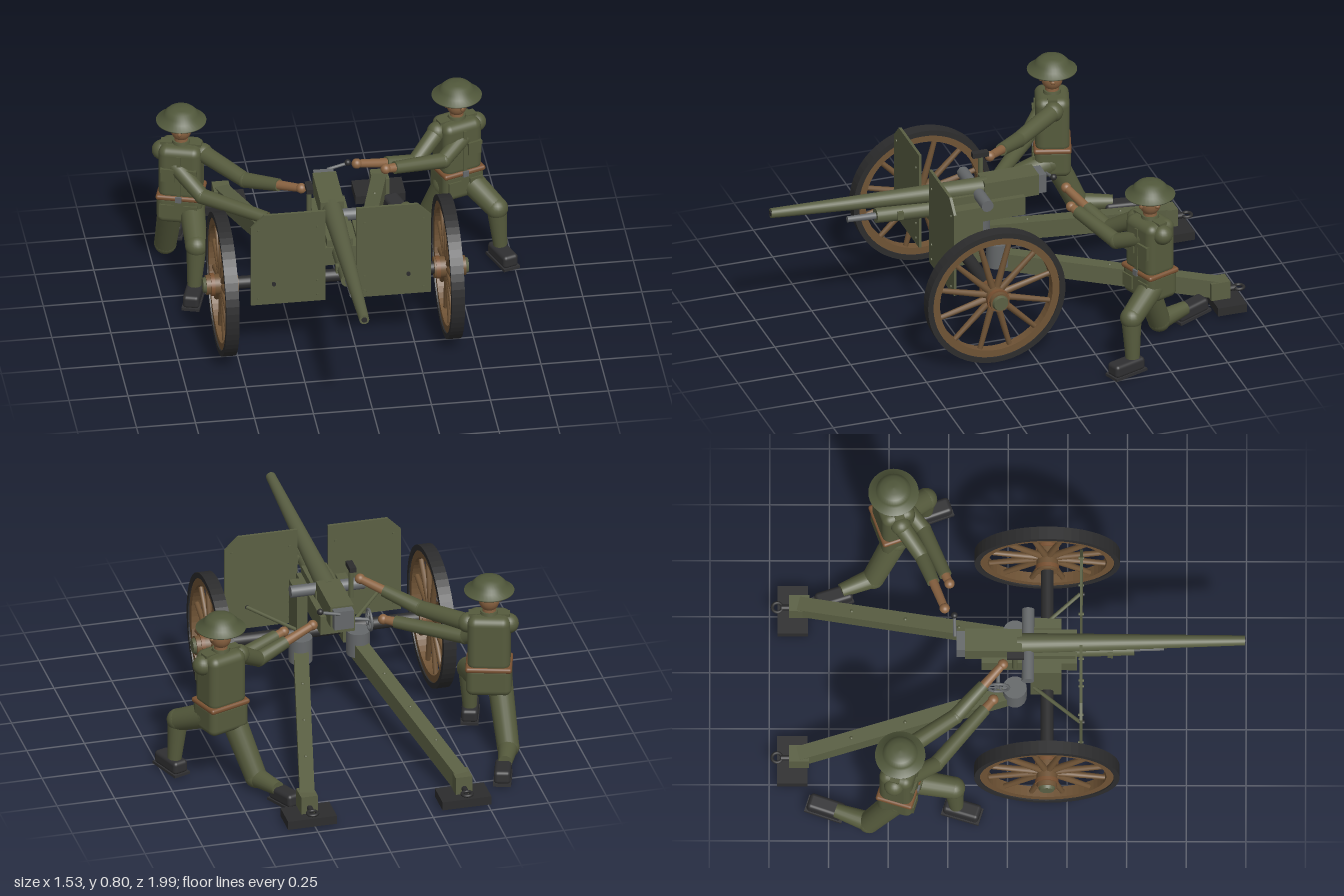
import * as THREE from 'three';
import { RoundedBoxGeometry } from 'three/addons/geometries/RoundedBoxGeometry.js';

const V = (p) => new THREE.Vector3(...p);
const UP = new THREE.Vector3(0, 1, 0);

export function createModel() {
  const mat = (name, color, side = THREE.FrontSide) => {
    const m = new THREE.MeshStandardMaterial({ color, side });
    m.name = name;
    return m;
  };
  const olive = mat('olive paint', 0x5a5f43);
  const cloth = mat('uniform cloth', 0x565b3d);
  const helmetMat = mat('helmet green', 0x51583b, THREE.DoubleSide);
  const rubber = mat('tyre black', 0x2c2c2d);
  const boot = mat('boot black', 0x2f2f31);
  const wood = mat('wood', 0x6f5335);
  const steel = mat('steel', 0x65686a);
  const skin = mat('skin', 0x8b6442);
  const leather = mat('leather', 0x7a5232);

  const add = (parent, name, geo, m, pos = [0, 0, 0]) => {
    const mesh = new THREE.Mesh(geo, m);
    mesh.name = name;
    mesh.position.set(...pos);
    parent.add(mesh);
    return mesh;
  };
  const box = (parent, name, size, pos, m) => add(parent, name, new THREE.BoxGeometry(...size), m, pos);
  const ball = (parent, name, r, pos, m) => add(parent, name, new THREE.SphereGeometry(r, 20, 14), m, pos);
  // Round bar from a (radius ra) to b (radius rb)
  const rod = (parent, name, a, b, ra, rb, m, seg = 20) => {
    const A = V(a), B = V(b), d = B.clone().sub(A);
    const mesh = add(parent, name, new THREE.CylinderGeometry(rb, ra, d.length(), seg), m);
    mesh.position.copy(A).add(B).multiplyScalar(0.5);
    mesh.quaternion.setFromUnitVectors(UP, d.normalize());
    return mesh;
  };
  // Square beam from a to b
  const beam = (parent, name, a, b, w, h, m) => {
    const A = V(a), B = V(b);
    const mesh = add(parent, name, new THREE.BoxGeometry(w, h, A.distanceTo(B)), m);
    mesh.position.copy(A).add(B).multiplyScalar(0.5);
    mesh.lookAt(B);
    return mesh;
  };
  const group = (parent, name) => {
    const g = new THREE.Group();
    g.name = name;
    parent.add(g);
    return g;
  };

  const model = new THREE.Group();
  model.name = 'fieldGunAndCrew';
  const gun = group(model, 'fieldGun');
  const cx = -0.07; // gun centre line

  // Wheels, built around the local y axis and turned to lie along x
  const ring = (rin, rout, h) => new THREE.LatheGeometry(
    [[rin, -h], [rout, -h], [rout, h], [rin, h], [rin, -h]].flatMap((p, i, a) =>
      i ? [new THREE.Vector2(...a[i - 1]), new THREE.Vector2(...p)] : []), 56).toNonIndexed();
  const smoothRing = (...a) => { const g = ring(...a); g.computeVertexNormals(); return g; };
  for (const [x, s] of [[-0.55, -1], [0.405, 1]]) {
    const w = group(gun, s < 0 ? 'rightWheel' : 'leftWheel');
    w.position.set(x, 0.305, 0.165);
    w.rotation.z = -s * Math.PI / 2;
    add(w, 'tyre', smoothRing(0.281, 0.305, 0.028), rubber);
    add(w, 'rim', smoothRing(0.25, 0.282, 0.022), wood);
    for (let i = 0; i < 12; i++) {
      const a = (i + 0.5) * Math.PI / 6, c = Math.cos(a), d = Math.sin(a);
      rod(w, 'spoke', [c * 0.04, 0, d * 0.04], [c * 0.255, 0, d * 0.255], 0.015, 0.011, wood, 10);
    }
    rod(w, 'hub', [0, -0.062, 0], [0, 0.072, 0], 0.046, 0.042, wood, 28);
    for (const y of [-0.045, 0.045]) rod(w, 'hubBand', [0, y - 0.008, 0], [0, y + 0.008, 0], 0.049, 0.049, leather, 28);
    rod(w, 'hubCap', [0, 0.07, 0], [0, 0.085, 0], 0.036, 0.03, olive, 24);
  }
  rod(gun, 'axle', [-0.56, 0.305, 0.165], [0.415, 0.305, 0.165], 0.027, 0.027, rubber);

  // Shield: two mirrored plates with a clipped outer corner
  for (const s of [-1, 1]) {
    const pts = [[0.066, 0.28], [0.382, 0.28], [0.382, 0.662], [0.325, 0.72], [0.066, 0.72]];
    const shape = new THREE.Shape(pts.map(([x, y]) => new THREE.Vector2(x * s, y)));
    add(gun, 'shieldPlate', new THREE.ExtrudeGeometry(shape, { depth: 0.012, bevelEnabled: false }), olive, [cx, 0, 0.302]);
    for (const [x, y] of [[0.1, 0.645], [0.35, 0.645], [0.1, 0.38], [0.35, 0.31], [0.1, 0.31]])
      rod(gun, 'rivet', [cx + s * x, y, 0.296], [cx + s * x, y, 0.319], 0.006, 0.006, olive, 8);
    rod(gun, 'shieldKnob', [cx + s * 0.285, 0.38, 0.3], [cx + s * 0.285, 0.38, 0.322], 0.009, 0.009, rubber, 10);
    rod(gun, 'shieldStrut', [cx + s * 0.285, 0.38, 0.302], [cx + s * 0.12, 0.35, 0.11], 0.008, 0.008, olive, 10);

    // Carriage cheek, trail pivot and trail
    box(gun, 'carriageCheek', [0.045, 0.26, 0.13], [cx + s * 0.1, 0.4, 0.16], olive);
    rod(gun, 'trailPivot', [cx + s * 0.125, 0.25, 0.03], [cx + s * 0.125, 0.36, 0.03], 0.05, 0.05, steel);
    const head = [cx + s * 0.125, 0.275, 0.02], tail = [cx + s * 0.335, 0.085, -0.88];
    beam(gun, 'trail', head, tail, 0.062, 0.078, olive);
    for (const t of [0.25, 0.5, 0.75]) {
      const p = V(head).lerp(V(tail), t);
      ball(gun, 'trailRivet', 0.008, [p.x, p.y + 0.038, p.z], olive);
    }
    box(gun, 'trailEnd', [0.072, 0.08, 0.085], [cx + s * 0.335, 0.085, -0.875], olive);
    box(gun, 'spade', [0.212, 0.038, 0.128], [cx + s * 0.335, 0.026, -0.903], rubber);
    add(gun, 'towRing', new THREE.TorusGeometry(0.021, 0.007, 10, 24), rubber, [cx + s * 0.335, 0.072, -0.967]).rotation.x = Math.PI / 2;
    rod(gun, 'towPin', [cx + s * 0.335, 0.072, -0.9], [cx + s * 0.335, 0.072, -0.95], 0.012, 0.012, rubber, 12);
  }

  // Barrel, breech and recoil gear
  rod(gun, 'barrel', [cx, 0.558, 0.04], [cx, 0.6, 0.995], 0.044, 0.021, olive, 28);
  rod(gun, 'muzzleBore', [cx, 0.6, 0.99], [cx, 0.6002, 0.9975], 0.012, 0.012, rubber);
  box(gun, 'breechHousing', [0.1, 0.095, 0.24], [cx, 0.552, -0.06], olive);
  box(gun, 'breechBlock', [0.085, 0.085, 0.04], [cx, 0.55, -0.195], steel);
  rod(gun, 'breechLever', [cx + 0.02, 0.585, -0.222], [0.03, 0.605, -0.224], 0.007, 0.007, steel, 10);
  ball(gun, 'leverKnob', 0.014, [0.036, 0.61, -0.224], rubber);
  box(gun, 'cradle', [0.15, 0.085, 0.4], [cx, 0.478, 0.09], olive);
  box(gun, 'cradleTop', [0.11, 0.05, 0.24], [cx, 0.53, 0.165], olive);
  rod(gun, 'trunnion', [-0.235, 0.55, 0.085], [0.085, 0.55, 0.085], 0.026, 0.026, steel);
  rod(gun, 'recoilCylinder', [cx, 0.495, 0.28], [cx, 0.506, 0.53], 0.035, 0.032, olive, 24);
  rod(gun, 'recoilRod', [cx, 0.505, 0.52], [cx, 0.51, 0.655], 0.015, 0.013, steel);
  box(gun, 'recoilCollar', [0.08, 0.035, 0.025], [cx, 0.505, 0.43], olive);

  // Sight and elevating handwheel on the right side
  rod(gun, 'sightPost', [-0.165, 0.52, 0.03], [-0.165, 0.665, 0.03], 0.011, 0.011, olive, 12);
  box(gun, 'sight', [0.028, 0.022, 0.07], [-0.165, 0.663, 0.033], rubber);
  add(gun, 'handwheel', new THREE.TorusGeometry(0.045, 0.006, 8, 28), steel, [-0.225, 0.44, -0.04]).rotation.y = Math.PI / 2;
  for (const r of [0, 1, 2]) {
    const c = Math.cos(r * Math.PI / 3) * 0.045, d = Math.sin(r * Math.PI / 3) * 0.045;
    rod(gun, 'handwheelSpoke', [-0.225, 0.44 - d, -0.04 - c], [-0.225, 0.44 + d, -0.04 + c], 0.004, 0.004, steel, 8);
  }
  rod(gun, 'handwheelShaft', [-0.23, 0.44, -0.04], [-0.12, 0.46, -0.04], 0.008, 0.008, steel, 10);

  // Kneeling crew member; joints are given in model space
  const soldier = (name, [x, z], yaw, arms, front, back) => {
    const g = group(model, name);
    const body = group(g, 'body');
    body.position.set(x, 0, z);
    body.rotation.y = yaw;
    add(body, 'tunic', new RoundedBoxGeometry(0.18, 0.25, 0.145, 4, 0.035), cloth, [0, 0.507, 0]);
    add(body, 'tunicSkirt', new RoundedBoxGeometry(0.192, 0.14, 0.155, 4, 0.03), cloth, [0, 0.338, 0]);
    add(body, 'belt', new RoundedBoxGeometry(0.196, 0.024, 0.16, 3, 0.011), leather, [0, 0.393, 0]);
    box(body, 'buckle', [0.026, 0.026, 0.008], [0, 0.393, 0.081], steel);
    box(body, 'buttonStrip', [0.016, 0.2, 0.006], [0, 0.5, 0.074], cloth);
    for (const s of [-1, 1]) {
      box(body, 'chestPocket', [0.06, 0.055, 0.014], [s * 0.045, 0.505, 0.073], cloth);
      box(body, 'pocketFlap', [0.064, 0.018, 0.02], [s * 0.045, 0.53, 0.073], cloth);
      box(body, 'skirtPocket', [0.06, 0.06, 0.014], [s * 0.05, 0.335, 0.077], cloth);
      box(body, 'shoulderStrap', [0.05, 0.012, 0.04], [s * 0.062, 0.63, 0], cloth);
      ball(body, 'ear', 0.011, [s * 0.046, 0.7, -0.002], skin);
      ball(body, 'eye', 0.006, [s * 0.017, 0.712, 0.041], boot);
    }
    rod(body, 'collar', [0, 0.615, 0], [0, 0.645, 0], 0.042, 0.036, cloth);
    rod(body, 'neck', [0, 0.62, 0], [0, 0.68, 0], 0.029, 0.029, skin);
    ball(body, 'head', 0.046, [0, 0.703, 0], skin).scale.set(1, 1.25, 1.02);
    ball(body, 'nose', 0.009, [0, 0.698, 0.048], skin).scale.y = 1.5;
    const profile = [[0.05, 0.752], [0.105, 0.738], [0.106, 0.743], [0.076, 0.757], [0.072, 0.775], [0.055, 0.792], [0.03, 0.8], [0, 0.802]];
    add(body, 'helmet', new THREE.LatheGeometry(profile.map((p) => new THREE.Vector2(...p)), 36), helmetMat);

    for (const [shoulder, elbow, hand, bare] of arms) {
      const cuff = V(elbow).lerp(V(hand), bare).toArray();
      ball(g, 'shoulder', 0.043, shoulder, cloth);
      rod(g, 'upperArm', shoulder, elbow, 0.038, 0.033, cloth);
      ball(g, 'elbow', 0.034, elbow, cloth);
      rod(g, 'sleeve', elbow, cuff, 0.033, 0.027, cloth);
      rod(g, 'forearm', cuff, hand, 0.02, 0.017, skin);
      ball(g, 'hand', 0.022, hand, skin);
    }
    const leg = (hip, knee, ankle, r) => {
      ball(g, 'hip', 0.055, hip, cloth);
      rod(g, 'thigh', hip, knee, 0.054, r + 0.004, cloth);
      ball(g, 'knee', r + 0.005, knee, cloth);
      rod(g, 'shin', knee, ankle, r, 0.03, cloth);
    };
    const putBoot = (pos, pitch) => {
      const b = group(g, 'boot');
      b.position.set(...pos);
      b.rotation.set(pitch, yaw, 0, 'YXZ');
      add(b, 'bootUpper', new RoundedBoxGeometry(0.07, 0.058, 0.155, 3, 0.016), boot, [0, 0.036, 0]);
      box(b, 'sole', [0.076, 0.012, 0.165], [0, 0.006, 0], boot);
    };
    leg(...front.leg, 0.043);
    putBoot(front.boot, 0);
    leg(...back.leg, 0.043);
    putBoot(back.boot, 0.1);
  };

  soldier('leftCrewman', [0.535, -0.48], 0.35, [
    [[0.447, 0.585, -0.45], [0.34, 0.5, -0.36], [0.08, 0.575, -0.265], 0.5],
    [[0.62, 0.585, -0.505], [0.46, 0.5, -0.355], [0.2, 0.55, -0.245], 0.85],
  ],
  { leg: [[0.585, 0.325, -0.47], [0.685, 0.25, -0.345], [0.7, 0.07, -0.345]], boot: [0.707, 0.004, -0.315] },
  { leg: [[0.485, 0.31, -0.47], [0.405, 0.055, -0.565], [0.345, 0.06, -0.7]], boot: [0.32, 0.006, -0.735] });

  soldier('rightCrewman', [-0.637, -0.45], -0.3, [
    [[-0.55, 0.585, -0.425], [-0.4, 0.565, -0.22], [-0.19, 0.63, -0.02], 0.6],
    [[-0.715, 0.585, -0.475], [-0.57, 0.45, -0.3], [-0.28, 0.445, -0.06], 0.85],
  ],
  { leg: [[-0.595, 0.325, -0.43], [-0.605, 0.255, -0.225], [-0.615, 0.07, -0.215]], boot: [-0.623, 0.004, -0.19] },
  { leg: [[-0.68, 0.31, -0.46], [-0.685, 0.055, -0.58], [-0.635, 0.06, -0.72]], boot: [-0.613, 0.006, -0.765] });

  return model;
}
